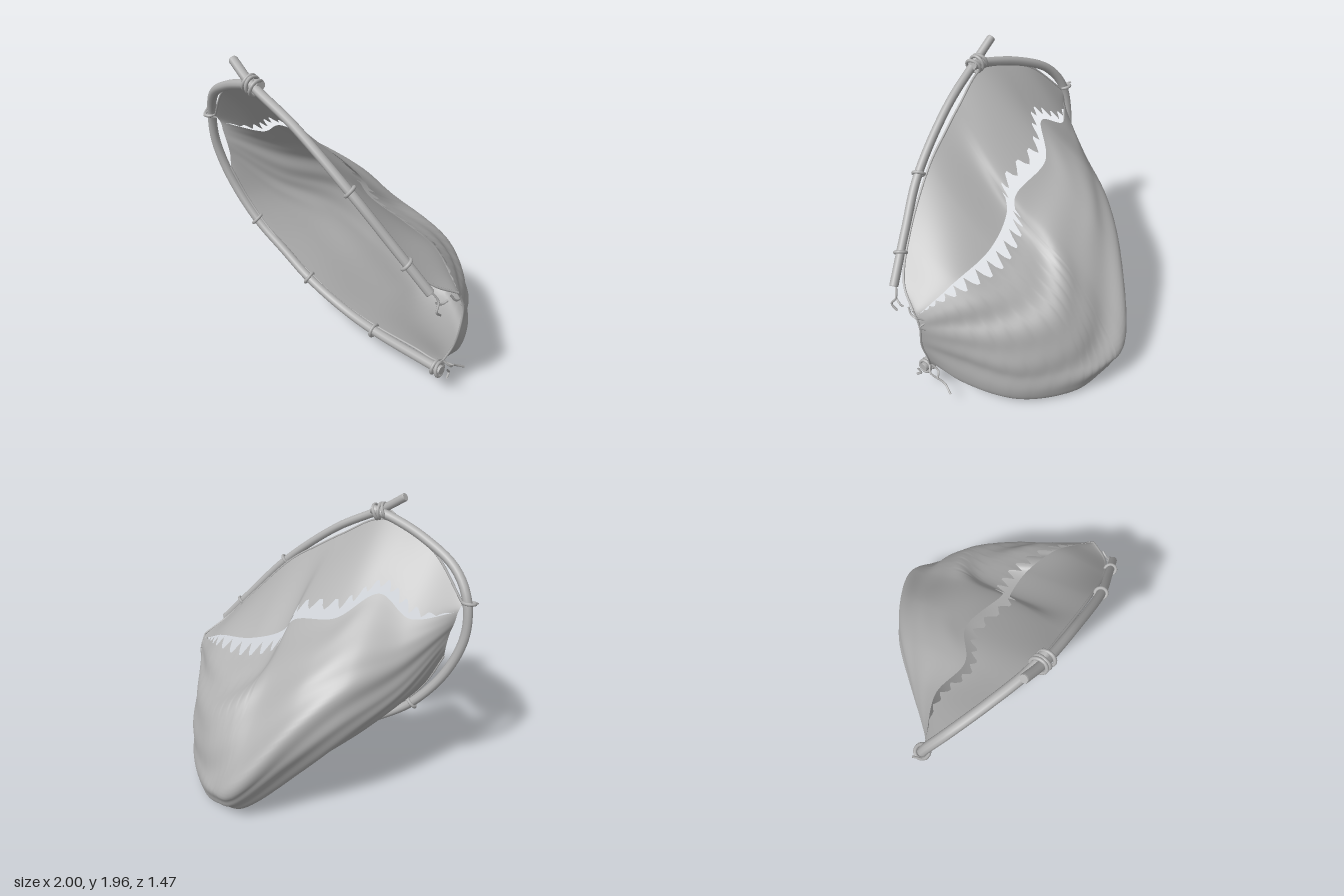
import * as THREE from 'three';

const grey = new THREE.MeshStandardMaterial({ color: 0xb0b0b0, side: THREE.DoubleSide });
grey.name = 'weatheredGrey';

const curve = (pts) => new THREE.CatmullRomCurve3(pts.map((p) => new THREE.Vector3(...p)));

// Lengthwise lines of the bag, each running from the left corner to the open right edge
const upperRim = curve([[-.9, 1.42, .5], [-.65, 1.66, .59], [-.45, 1.74, .63], [-.22, 1.78, .66], [.05, 1.63, .62],
  [.22, 1.52, .59], [.42, 1.38, .55], [.72, 1.06, .46], [.9, .85, .35], [.98, .76, .2]]);
const tearLine = curve([[-.89, 1.37, .47], [-.65, 1.33, .31], [-.42, 1.44, .33], [-.22, 1.29, .14], [.11, 1.18, .13],
  [.18, 1.02, .06], [.42, .91, 0], [.7, .86, .04], [.88, .78, .13], [.98, .73, .18]]);
const upperBack = curve([[-.88, 1.3, .46], [-.68, 1.15, .15], [-.47, 1.1, -.1], [-.25, .98, -.28], [.04, .79, -.36],
  [.2, .72, -.4], [.38, .65, -.4], [.67, .62, -.2], [.88, .63, .03], [.985, .65, .15]]);
const lowerBack = curve([[-.86, 1.22, .45], [-.7, .95, .12], [-.5, .79, -.25], [-.28, .58, -.49], [.03, .26, -.71],
  [.18, .25, -.67], [.34, .26, -.6], [.65, .28, -.36], [.86, .4, -.03], [.98, .5, .16]]);
const underside = curve([[-.85, 1.13, .44], [-.72, .85, .2], [-.52, .62, -.1], [-.28, .38, -.32], [.05, .08, -.58],
  [.2, .03, -.59], [.35, .005, -.54], [.64, .03, -.31], [.84, .17, -.02], [.94, .35, .16]]);
const lowerRim = curve([[-.84, 1.05, .45], [-.74, .82, .39], [-.56, .61, .34], [-.3, .42, .28], [-.02, .28, .24],
  [.16, .23, .22], [.35, .21, .21], [.68, .21, .2], [.84, .21, .2], [.9, .24, .2]]);
const lines = [upperRim, tearLine, upperBack, lowerBack, underside, lowerRim];

// Cloth panel between two cross-section parameters, with soft diagonal folds
function panel(name, rows, from, to) {
  const cols = 140, pos = [], index = [], fold = [];
  for (let i = 0; i <= cols; i++) {
    const s = i / cols;
    const section = new THREE.CatmullRomCurve3(lines.map((l) => l.getPoint(s)));
    for (let j = 0; j <= rows; j++) {
      const t = THREE.MathUtils.lerp(from(i, s), to(i, s), j / rows);
      const p = section.getPoint(t);
      pos.push(p.x, p.y, p.z);
      const env = Math.sin(Math.PI * s) * Math.max(0, Math.sin(Math.PI * (t - .2) / .8));
      const gather = THREE.MathUtils.smoothstep(s, .55, .95) * (1 - s) * 4;
      const u = t * 26 - s * 9 + Math.sin(s * 7) * .8;
      fold.push(env * (.016 * Math.sin(u) + .009 * Math.sin(u * 1.9 + 1 + s * 5) + .02 * gather * Math.sin(t * 40)));
      if (i < cols && j < rows) {
        const a = i * (rows + 1) + j, b = a + rows + 1;
        index.push(a, a + 1, b, b, a + 1, b + 1);
      }
    }
  }
  const g = new THREE.BufferGeometry();
  g.setAttribute('position', new THREE.Float32BufferAttribute(pos, 3));
  g.setIndex(index);
  g.computeVertexNormals();
  const P = g.attributes.position, N = g.attributes.normal;
  for (let k = 0; k < P.count; k++) {
    P.setXYZ(k, P.getX(k) + N.getX(k) * fold[k], P.getY(k) + N.getY(k) * fold[k], P.getZ(k) + N.getZ(k) * fold[k]);
  }
  g.computeVertexNormals();
  const m = new THREE.Mesh(g, grey);
  m.name = name;
  return m;
}

function tube(name, path, radius, segments = 60, sides = 10) {
  const m = new THREE.Mesh(new THREE.TubeGeometry(path, segments, radius, sides), grey);
  m.name = name;
  return m;
}

// Branch with closed ends
function branch(name, path, radius) {
  const g = new THREE.Group();
  g.name = name;
  g.add(tube(name + 'Rod', path, radius, 80));
  for (const u of [0, 1]) {
    const cap = new THREE.Mesh(new THREE.CylinderGeometry(radius * .9, radius, .012, 10), grey);
    cap.position.copy(path.getPoint(u));
    const out = path.getTangent(u).multiplyScalar(u ? 1 : -1);
    cap.quaternion.setFromUnitVectors(new THREE.Vector3(0, 1, 0), out);
    cap.name = name + 'End';
    g.add(cap);
  }
  return g;
}

// Cord loops wound round a branch at a given point
function lashing(name, at, along, loops, radius = .036) {
  const g = new THREE.Group();
  g.name = name;
  for (let i = 0; i < loops; i++) {
    const ring = new THREE.Mesh(new THREE.TorusGeometry(radius, .011, 8, 18), grey);
    ring.position.z = (i - (loops - 1) / 2) * .034;
    ring.rotation.set(.15 * (i % 2 ? -1 : 1), .12, 0);
    ring.name = name + 'Loop';
    g.add(ring);
  }
  g.position.set(...at);
  g.quaternion.setFromUnitVectors(new THREE.Vector3(0, 0, 1), new THREE.Vector3(...along).normalize());
  return g;
}

export function createModel() {
  const model = new THREE.Group();
  model.name = 'tornClothBagOnBentFrame';

  // Cloth: upper flap and bag, parted by a tear with pointed teeth on the flap at left and on the bag at right
  const tooth = (i) => [0, .5, 1, .5, 0][i % 5] * (.8 + .2 * Math.sin(i * 1.3));
  const wide = (s) => Math.min(1, 9 * s, 5 * (1 - s)) * (1 - .3 * s);
  model.add(panel('upperFlap', 14, () => 0, (i, s) => .2 - wide(s) * (s < .5 ? .042 * (1 - tooth(i)) : .03)));
  model.add(panel('bag', 64, (i, s) => .2 + wide(s) * (s < .5 ? .008 : .03 - .055 * tooth(i)), () => 1));

  // Rolled hems
  model.add(tube('upperHem', upperRim, .008, 80, 6));
  model.add(tube('lowerHem', lowerRim, .008, 80, 6));
  model.add(tube('rightHem', curve(lines.map((l) => l.getPoint(1).toArray())), .007, 30, 6));

  // Bent branches of the frame
  model.add(branch('straightBranch', curve([[-.36, 1.94, .69], [-.2, 1.83, .69], [.12, 1.65, .65], [.5, 1.34, .575],
    [.72, 1.09, .49], [.94, .83, .4]]), .028));
  model.add(branch('curvedBranch', curve([[-.15, 1.83, .66], [-.3, 1.8, .66], [-.55, 1.73, .62], [-.8, 1.61, .56],
    [-.92, 1.45, .51], [-.95, 1.22, .48], [-.87, .95, .43], [-.68, .68, .37], [-.45, .5, .32], [-.23, .36, .29],
    [.05, .24, .25], [.35, .195, .24], [.92, .2, .24]]), .031));

  // Lashings round the frame
  const ties = [
    ['topLashing', [-.2, 1.82, .68], [1, -.3, 0], 3, .05],
    ['upperTie', [.49, 1.35, .575], [.7, -.7, -.2], 1],
    ['lowerTie', [.81, .98, .455], [.6, -.7, -.25], 1],
    ['leftTie', [-.94, 1.43, .505], [-.2, -1, -.1], 1, .04],
    ['lowerLeftTie', [-.68, .68, .37], [.65, -.7, -.2], 1, .04],
    ['bottomLeftTie', [-.23, .36, .29], [.85, -.45, -.1], 1, .04],
    ['bottomTie', [.35, .195, .24], [1, 0, 0], 1, .04],
    ['rightLashing', [.89, .2, .24], [1, 0, 0], 2, .042],
  ];
  for (const t of ties) model.add(lashing(...t));

  // Frayed cords at the torn right edge
  const cords = [
    [[.93, .84, .39], [.97, .77, .36], [.985, .72, .39], [.98, .68, .35]],
    [[.96, .76, .37], [.97, .74, .33], [.98, .75, .29]],
    [[.97, .76, .25], [.98, .72, .22], [.97, .7, .16]],
    [[.98, .72, .17], [.94, .69, .13], [.985, .66, .15], [.95, .63, .12]],
    [[.9, .24, .2], [.93, .2, .17], [.9, .14, .08], [.92, .1, .01]],
    [[.97, .23, .24], [.965, .2, .22], [.975, .18, .25]],
    [[.9, .25, .22], [.88, .19, .15], [.92, .17, .12]],
    [[-.33, 1.81, .66], [-.26, 1.83, .7], [-.2, 1.81, .7]],
    [[-1, 1.45, .49], [-.95, 1.42, .55], [-.89, 1.41, .5]],
  ];
  cords.forEach((c) => model.add(tube('frayedCord', curve(c), .007, 16, 6)));

  // Short stitches joining the hems to the frame
  const stitches = [
    [[.49, 1.35, .575], [.44, 1.34, .54]], [[.81, .98, .455], [.76, 1, .44]],
    [[-.68, .68, .37], [-.64, .69, .36]], [[-.23, .36, .29], [-.22, .38, .27]],
    [[.35, .195, .24], [.35, .21, .21]], [[-.2, 1.82, .68], [-.22, 1.77, .66]],
  ];
  stitches.forEach((c) => model.add(tube('stitch', curve(c), .009, 4, 6)));
  return model;
}
